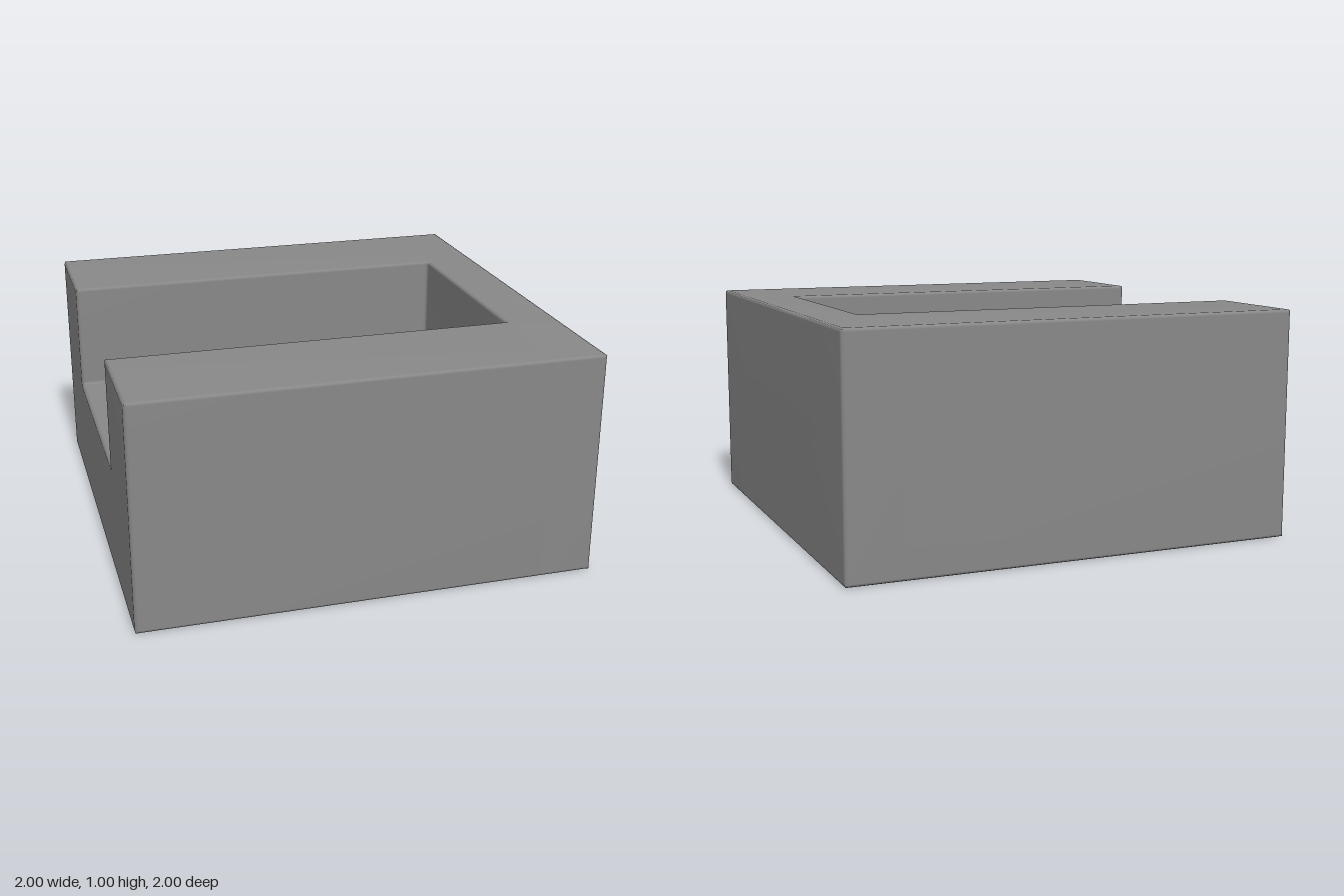
import * as THREE from 'three';
import { mergeVertices } from 'three/addons/utils/BufferGeometryUtils.js';

const FLOOR = 0.52;      // height of the slot floor
const SLOT_HALF = 0.49;  // half width of the slot
const SLOT_END = 0.765;  // closed end of the slot, which is open towards -x
const ROUND = 0.015;     // radius of the softened edges
const TINY = 0.001;

// Grid lines: every edge has a support line on each side
const around = (c) => [c - ROUND, c, c + ROUND];
const GRID = [
  [-1, -1 + ROUND, ...around(SLOT_END), 1 - ROUND, 1],
  [0, ROUND, ...around(FLOOR), 1 - ROUND, 1],
  [-1, -1 + ROUND, ...around(-SLOT_HALF), ...around(SLOT_HALF), 1 - ROUND, 1],
];

function isSolid([x, y, z]) {
  const inBlock = Math.abs(x) < 1 && y > 0 && y < 1 && Math.abs(z) < 1;
  const inSlot = x < SLOT_END && y > FLOOR && Math.abs(z) < SLOT_HALF;
  return inBlock && !inSlot;
}

// Softens edges: outer ones move into the solid, inner ones out of it, flat points stay
function soften(point) {
  const inward = new THREE.Vector3();
  let count = 0;
  for (const x of [-1, 1]) for (const y of [-1, 1]) for (const z of [-1, 1]) {
    if (!isSolid([point[0] + x * TINY, point[1] + y * TINY, point[2] + z * TINY])) continue;
    inward.add(new THREE.Vector3(x, y, z));
    count++;
  }
  inward.setLength((Math.SQRT2 - 1) * ROUND * Math.sign(4 - count));
  return inward.add(new THREE.Vector3(...point));
}

function blockGeometry() {
  const points = [];

  // Adds the two triangles of a cell side if it lies on the surface
  function addSide(low, high, axis, sign) {
    const u = (axis + 1) % 3, v = (axis + 2) % 3;
    const level = sign > 0 ? high[axis] : low[axis];
    const outside = low.map((value, i) => (value + high[i]) / 2);
    outside[axis] = level + sign * TINY;
    if (isSolid(outside)) return;
    const corners = [[low, low], [high, low], [high, high], [low, high]].map(([a, b]) => {
      const corner = [];
      corner[axis] = level;
      corner[u] = a[u];
      corner[v] = b[v];
      return soften(corner);
    });
    if (sign < 0) corners.reverse();
    for (const i of [0, 1, 2, 0, 2, 3]) points.push(corners[i]);
  }

  const [xs, ys, zs] = GRID;
  for (let i = 1; i < xs.length; i++) for (let j = 1; j < ys.length; j++) for (let k = 1; k < zs.length; k++) {
    const low = [xs[i - 1], ys[j - 1], zs[k - 1]];
    const high = [xs[i], ys[j], zs[k]];
    if (!isSolid(low.map((value, n) => (value + high[n]) / 2))) continue;
    for (const axis of [0, 1, 2]) for (const sign of [-1, 1]) addSide(low, high, axis, sign);
  }

  // Shared corners give smooth shading across the softened edges
  const geometry = mergeVertices(new THREE.BufferGeometry().setFromPoints(points));
  geometry.computeVertexNormals();
  return geometry;
}

export function createModel() {
  const model = new THREE.Group();
  model.name = 'slottedBlock';
  const block = new THREE.Mesh(blockGeometry(), new THREE.MeshStandardMaterial({ color: 0x888888 }));
  block.name = 'block';
  model.add(block);
  return model;
}
